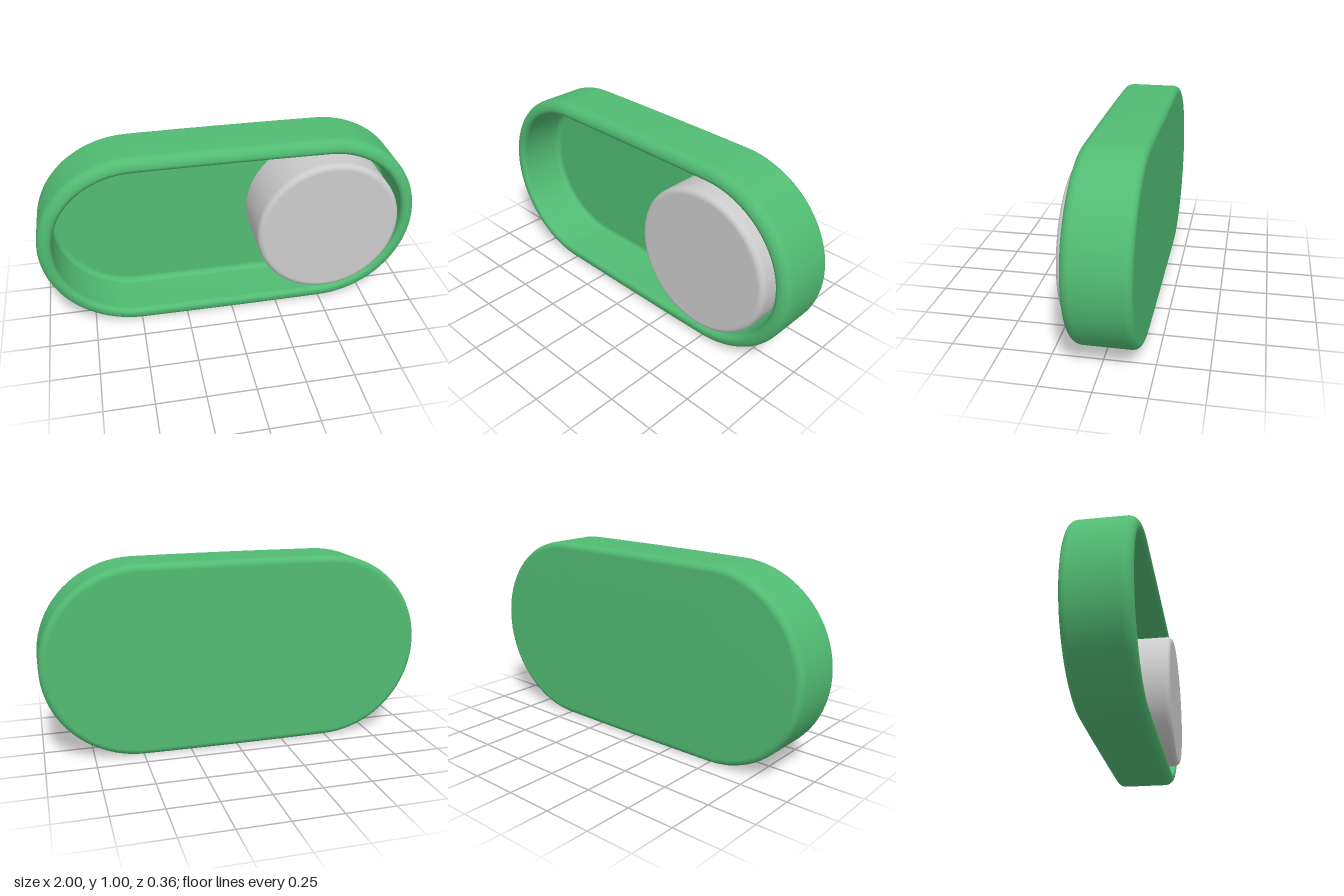
import * as THREE from 'three';

const CY = 0.5025, BACK = -0.178, RIM = 0.14, FLOOR = -0.13;
const green = new THREE.MeshStandardMaterial({ color: 0x51bb73 });
const grey = new THREE.MeshStandardMaterial({ color: 0xcccccc });

// Points of a circular fillet, angles in degrees
function arc(cx, cy, r, from, to, n = 8) {
  return Array.from({ length: n + 1 }, (_, i) => {
    const a = THREE.MathUtils.degToRad(from + (to - from) * i / n);
    return [cx + r * Math.cos(a), cy + r * Math.sin(a)];
  });
}

// Pill outline inset by d, its long sides very slightly bowed outwards
function outline(d) {
  const r = 0.5 - d, pts = [], ends = 40, sides = 16;
  for (const s of [1, -1]) {
    for (let i = 0; i <= ends; i++) {
      const a = Math.PI * (i / ends - 0.5);
      pts.push([s * (0.5 + r * Math.cos(a)), s * r * Math.sin(a)]);
    }
    for (let i = 1; i < sides; i++) pts.push([s * (0.5 - i / sides), s * r]);
  }
  return pts.map(([x, y]) => [x, CY + y * (0.985 + 0.01 * Math.max(0, 1 - (x / 0.7) ** 2))]);
}

// Sweep an (inset, z) profile around the pill outline
function sweepPill(profile) {
  const pos = [], idx = [], n = outline(0).length;
  profile.forEach(([d, z], k) => {
    outline(d).forEach(([x, y], j) => {
      pos.push(x, y, z);
      if (k === profile.length - 1) return;
      const a = k * n + j, b = k * n + (j + 1) % n;
      idx.push(a, b, a + n, b, b + n, a + n);
    });
  });
  const g = new THREE.BufferGeometry();
  g.setAttribute('position', new THREE.Float32BufferAttribute(pos, 3));
  g.setIndex(idx);
  g.computeVertexNormals();
  return g;
}

export function createModel() {
  const group = new THREE.Group();

  // Hollow tray: back, outer wall, rounded rim, inner wall, floor
  const tray = new THREE.Mesh(sweepPill([
    [0.5, BACK],
    ...arc(0.035, BACK + 0.035, 0.035, 270, 180),
    ...arc(0.05, RIM - 0.05, 0.05, 180, 90),
    ...arc(0.05, RIM - 0.025, 0.025, 90, 0).slice(1),
    ...arc(0.105, FLOOR + 0.03, 0.03, 180, 270),
    [0.5, FLOOR],
  ]), green);
  tray.name = 'tray';
  group.add(tray);

  // Round slider knob standing on the floor at the model's left end
  const R = 0.383, FRONT = 0.178, F = 0.03;
  const profile = [
    [R, FLOOR - 0.01], [R, FRONT - F - 0.005],
    ...arc(R - F, FRONT - F, F, 0, 90),
    [R - F - 0.005, FRONT], [0, FRONT],
  ].map(([x, y]) => new THREE.Vector2(x, y));
  const knob = new THREE.Mesh(new THREE.LatheGeometry(profile, 96).rotateX(Math.PI / 2), grey);
  knob.name = 'knob';
  knob.position.set(0.51, CY, 0);
  group.add(knob);

  return group;
}
